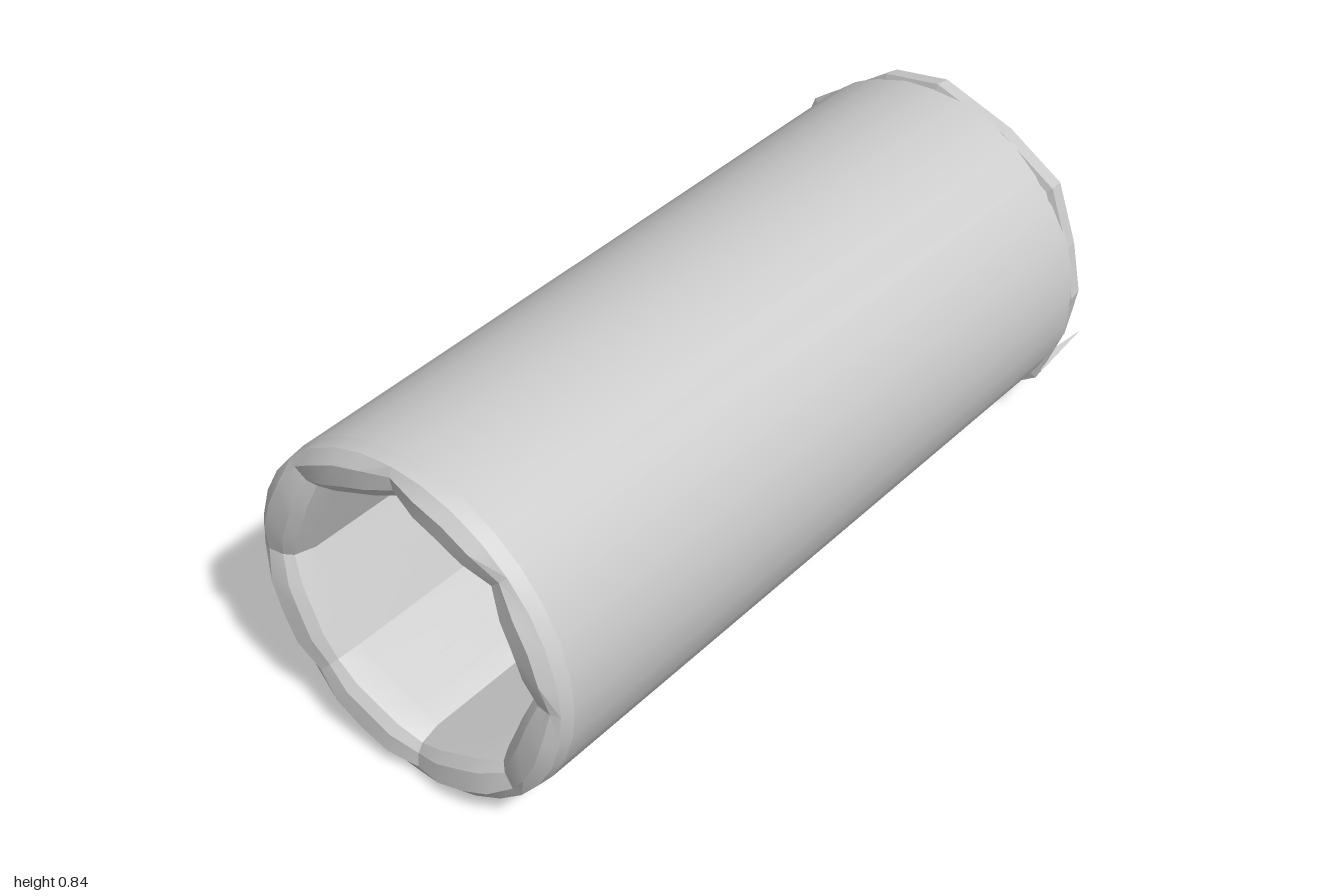
import * as THREE from 'three';
import { toCreasedNormals } from 'three/addons/utils/BufferGeometryUtils.js';

const CY = 0.415;      // height of the tube axis
const SIDES = 32;
const EIGHTH = Math.PI / 4;

const polar = (angle, r, z) => [r * Math.cos(angle), CY + r * Math.sin(angle), z];

// Radius of a regular octagon with a corner at angle 0
const octagon = (angle) => {
  const local = angle % EIGHTH - EIGHTH / 2;
  return Math.cos(EIGHTH / 2) / Math.cos(local);
};

// Skins a row of closed rings with triangles
function loft(rings) {
  const pos = [];
  for (let i = 0; i < rings.length - 1; i++) {
    const n = rings[i].length;
    for (let j = 0; j < n; j++) {
      const k = (j + 1) % n;
      const a = rings[i][j], b = rings[i][k];
      const c = rings[i + 1][j], d = rings[i + 1][k];
      pos.push(...a, ...c, ...b, ...b, ...c, ...d);
    }
  }
  const g = new THREE.BufferGeometry();
  g.setAttribute('position', new THREE.Float32BufferAttribute(pos, 3));
  g.computeVertexNormals();
  return g;
}

export function createModel() {
  const model = new THREE.Group();
  const material = new THREE.MeshStandardMaterial({ color: 0xcccccc });
  const flat = new THREE.MeshStandardMaterial({ color: 0xcccccc, flatShading: true });
  const add = (name, geometry, mat) => {
    const mesh = new THREE.Mesh(geometry, mat);
    mesh.name = name;
    model.add(mesh);
    return mesh;
  };

  // A ring blends from octagon to circle; the rim dips at the octagon corners
  const ring = (r, z, octAmount, dip = 0) => Array.from({ length: SIDES }, (_, i) => {
    const a = i / SIDES * Math.PI * 2;
    const shape = 1 + (octagon(a) - 1) * octAmount;
    return polar(a, r * shape, z - (i % 4 === 0 ? dip : 0));
  });

  // Octagonal bore
  add('bore', toCreasedNormals(loft([
    ring(0.303, -0.8, 1), ring(0.315, 0.92, 1), ring(0.33, 0.975, 1, 0.01),
  ]), 0.3), material);

  // Faceted mouth rim
  add('mouthRim', toCreasedNormals(loft([
    ring(0.33, 0.975, 1, 0.01), ring(0.35, 0.993, 0.8, 0.015),
    ring(0.385, 0.998, 0.2, 0.015), ring(0.406, 0.975, 0), ring(0.41, 0.94, 0),
  ]), 0.4), material);

  // Round outer wall
  add('barrel', toCreasedNormals(loft([ring(0.41, 0.94, 0), ring(0.41, -0.8, 0)]), 0.5), material);

  // Bore floor
  const floor = add('boreFloor', new THREE.CircleGeometry(0.304, 8), flat);
  floor.position.set(0, CY, -0.8);

  // Uneven bevelled end cap: angle in degrees, radius
  const corners = [
    [0, 0.413], [18, 0.408], [39, 0.432], [62, 0.41], [89, 0.425], [109, 0.422],
    [143, 0.426], [160, 0.41], [180, 0.413], [207, 0.41], [234, 0.424], [258, 0.41],
    [277, 0.415], [298, 0.41], [322, 0.428], [341, 0.41],
  ];
  const capRing = (scale, z) => corners.map(([deg, r]) =>
    polar(THREE.MathUtils.degToRad(deg), r * scale, z));
  add('endCap', loft([
    capRing(0.96, -0.79), capRing(1, -0.795), capRing(0.985, -0.835),
    capRing(0.93, -0.858), capRing(0, -0.86),
  ]), flat);

  // Thin spike behind the cap
  const spike = add('spike', new THREE.ConeGeometry(0.024, 0.2, 4).rotateX(-Math.PI / 2), flat);
  spike.scale.x = 0.75;
  spike.position.set(0.33, 0.172, -0.9);

  return model;
}
